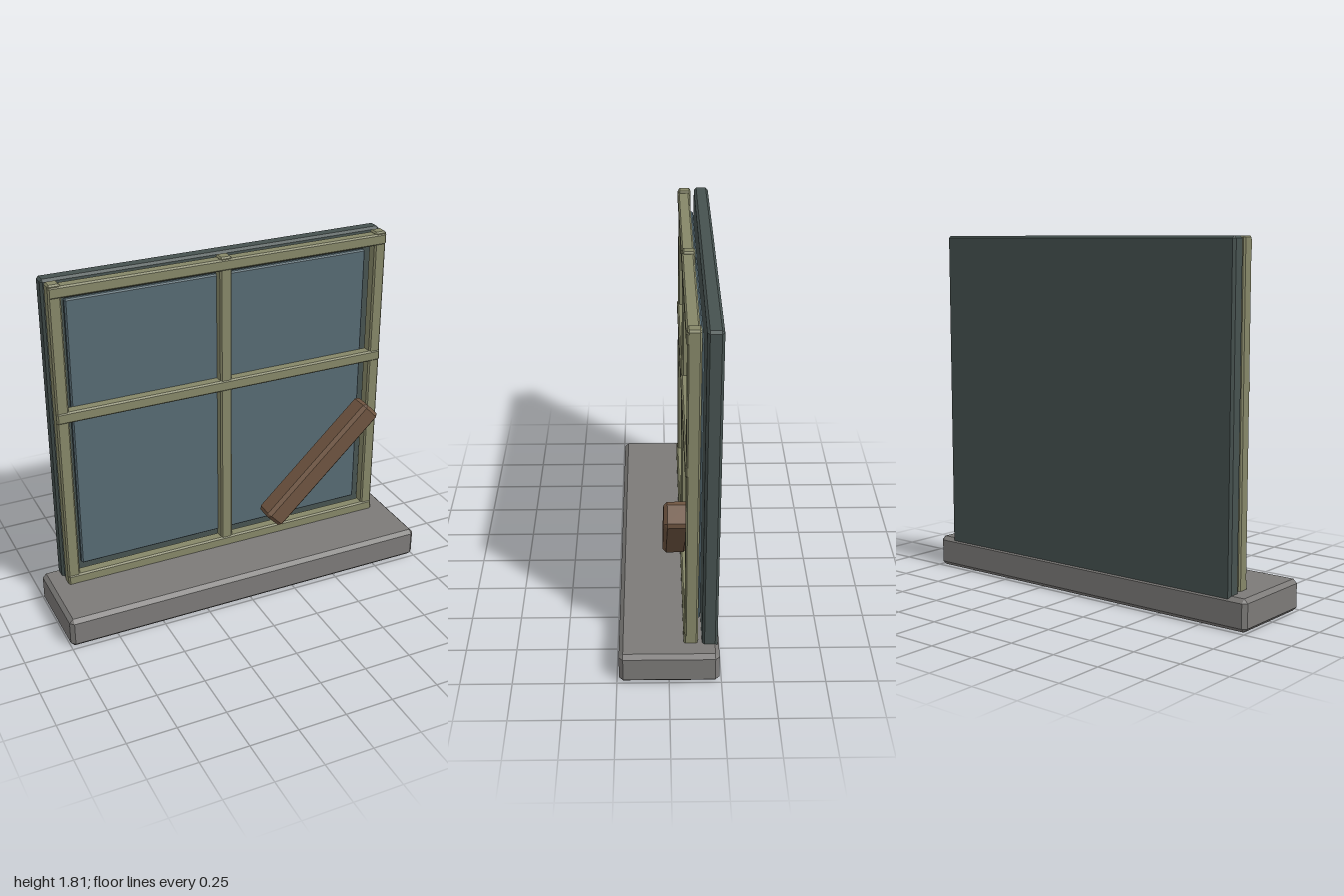
import * as THREE from 'three';
import { ConvexGeometry } from 'three/addons/geometries/ConvexGeometry.js';

const mat = (color) => new THREE.MeshStandardMaterial({ color, flatShading: true });

// Box of size w, h, d with all edges cut by chamfer c
function chamferBox(w, h, d, c) {
  const pts = [];
  for (const sx of [-1, 1]) for (const sy of [-1, 1]) for (const sz of [-1, 1]) {
    for (let full = 0; full < 3; full++) {
      const [x, y, z] = [w, h, d].map((s, i) => s / 2 - (i === full ? 0 : c));
      pts.push(new THREE.Vector3(sx * x, sy * y, sz * z));
    }
  }
  return new ConvexGeometry(pts);
}

export function createModel() {
  const group = new THREE.Group();
  const stone = mat(0x7c7a78), wood = mat(0x868768), glass = mat(0x566a72);
  const dark = mat(0x465250), brown = mat(0x6e5440);

  // Adds a chamfered block spanning the given ranges
  const block = (name, material, [x0, x1], [y0, y1], [z0, z1], c) => {
    const mesh = new THREE.Mesh(chamferBox(x1 - x0, y1 - y0, z1 - z0, c), material);
    mesh.position.set((x0 + x1) / 2, (y0 + y1) / 2, (z0 + z1) / 2);
    mesh.name = name;
    group.add(mesh);
    return mesh;
  };

  block('sill', stone, [-1, 1], [0, 0.16], [-0.24, 0.24], 0.02);
  block('backPanel', dark, [-0.91, 0.91], [0.12, 1.81], [-0.233, -0.158], 0.012);
  block('glassPane', glass, [-0.81, 0.81], [0.235, 1.71], [-0.152, -0.122], 0.007);

  // Upright bars, slightly taller and set back from the cross bars
  [['rightStile', -0.87], ['centreMullion', 0], ['leftStile', 0.87]].forEach(([name, x]) =>
    block(name, wood, [x - 0.032, x + 0.032], [0.12, 1.81], [-0.138, -0.075], 0.008));

  // Cross bars
  [['bottomRail', 0.18], ['middleRail', 1.12], ['topRail', 1.77]].forEach(([name, y]) =>
    block(name, wood, [-0.902, 0.902], [y - 0.03, y + 0.03], [-0.132, -0.07], 0.008));

  // Slanted wooden plank across the lower pane
  const plank = block('plank', brown, [0.125, 0.935], [0.5055, 0.6305], [-0.1, 0.025], 0.018);
  plank.rotation.z = THREE.MathUtils.degToRad(43.5);

  return group;
}
